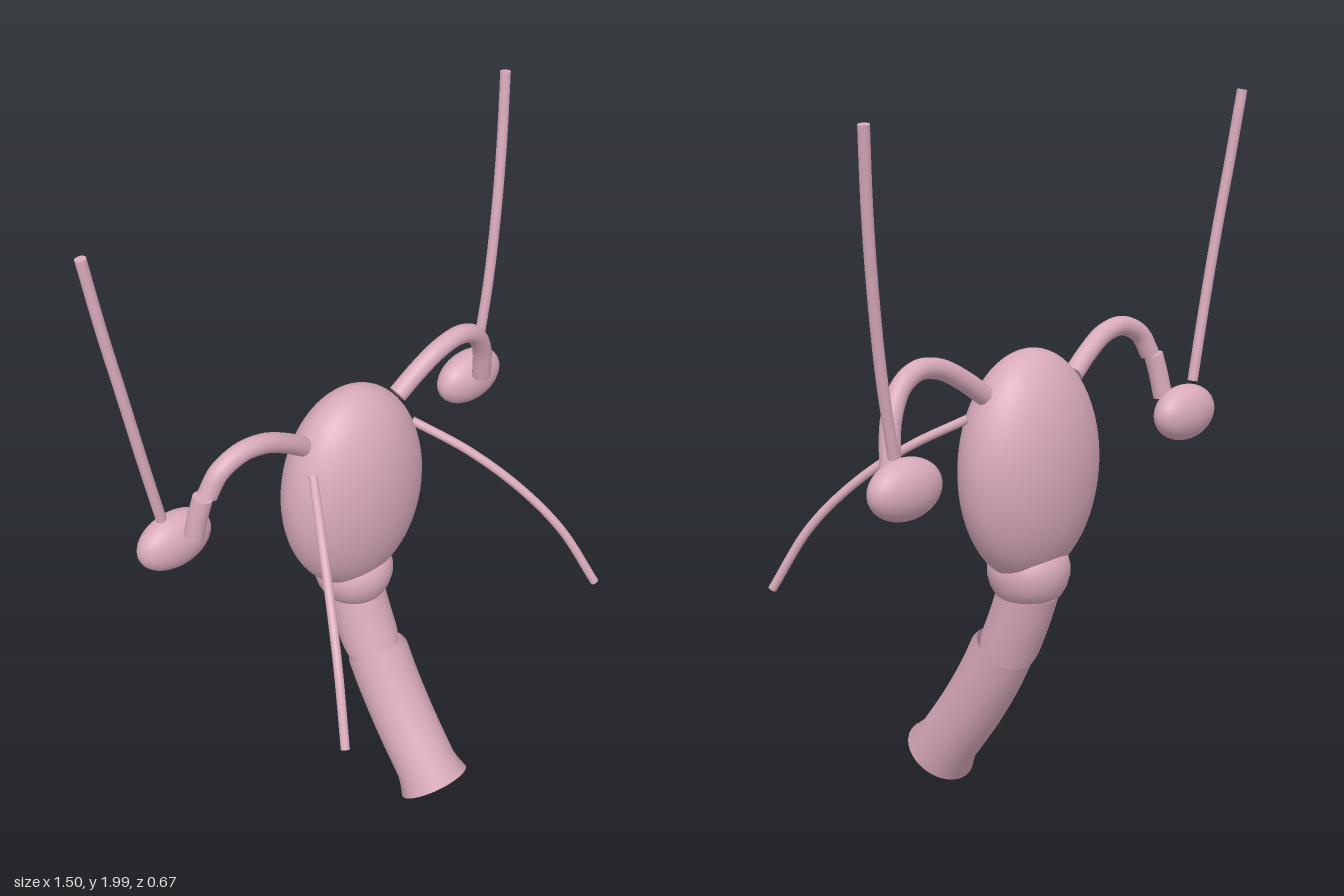
import * as THREE from 'three';

const pink = new THREE.MeshStandardMaterial({ color: 0xd8aab9, side: THREE.DoubleSide });
pink.name = 'pink tissue';

function addMesh(parent, name, geometry) {
  const mesh = new THREE.Mesh(geometry, pink);
  mesh.name = name;
  parent.add(mesh);
  return mesh;
}

function ellipsoid(parent, name, center, radii) {
  const mesh = addMesh(parent, name, new THREE.SphereGeometry(1, 48, 32));
  mesh.position.set(...center);
  mesh.scale.set(...radii);
}

// Tube along points; radiusAt(u) varies the thickness, caps close both ends.
function tube(parent, name, points, radiusAt, capped = true, sides = 20) {
  const group = new THREE.Group();
  group.name = name;
  parent.add(group);
  const curve = new THREE.CatmullRomCurve3(points.map((p) => new THREE.Vector3(...p)));
  const steps = 48;
  const geometry = new THREE.TubeGeometry(curve, steps, 1, sides);
  const pos = geometry.attributes.position;
  const v = new THREE.Vector3();
  for (let i = 0; i <= steps; i++) {
    const c = curve.getPointAt(i / steps);
    for (let j = 0; j <= sides; j++) {
      const k = i * (sides + 1) + j;
      v.fromBufferAttribute(pos, k).sub(c).multiplyScalar(radiusAt(i / steps)).add(c);
      pos.setXYZ(k, v.x, v.y, v.z);
    }
  }
  addMesh(group, name + 'Wall', geometry);
  if (!capped) return;
  for (const u of [0, 1]) {
    const cap = addMesh(group, name + 'Cap', new THREE.CircleGeometry(radiusAt(u), sides));
    const outward = curve.getTangentAt(u).multiplyScalar(u ? 1 : -1);
    cap.quaternion.setFromUnitVectors(new THREE.Vector3(0, 0, 1), outward);
    cap.position.copy(curve.getPointAt(u));
  }
}

export function createModel() {
  const model = new THREE.Group();
  model.name = 'organModel';

  // Main body
  ellipsoid(model, 'body', [0, 1.02, -0.18], [0.235, 0.325, 0.154]);

  // Barrel-shaped neck
  const profile = [[0, 0.64], [0.075, 0.64], [0.093, 0.653], [0.108, 0.68], [0.116, 0.71],
    [0.116, 0.735], [0.109, 0.763], [0.095, 0.78], [0, 0.78]];
  const neck = addMesh(model, 'neck', new THREE.LatheGeometry(
    profile.map(([x, y]) => new THREE.Vector2(x, y)), 48));
  neck.position.z = -0.18;

  // Upper canal and the open, flared lower canal
  tube(model, 'upperCanal', [[0, 0.675, -0.185], [0, 0.57, -0.147], [0, 0.455, -0.098]],
    (u) => 0.086 - 0.008 * Math.max(0, (u - 0.75) / 0.25) ** 2, true, 40);
  tube(model, 'lowerCanal',
    [[0, 0.472, -0.088], [0, 0.37, -0.035], [0, 0.25, 0.04], [0, 0.15, 0.113], [0, 0.08, 0.165]],
    (u) => 0.092 - 0.01 * Math.max(0, 1 - u / 0.06) ** 2
      + 0.015 * Math.max(0, (u - 0.86) / 0.14) ** 1.5, false, 40);

  // Arched side tubes; the right one is split into two pieces
  const arch = [[0.18, 1.245, -0.18], [0.25, 1.295, -0.172], [0.33, 1.337, -0.165],
    [0.41, 1.347, -0.165], [0.48, 1.315, -0.172]];
  tube(model, 'leftArchedTube',
    [...arch, [0.53, 1.24, -0.187], [0.555, 1.125, -0.207]], () => 0.028);
  tube(model, 'rightArchedTube',
    [...arch, [0.515, 1.255, -0.182]].map(([x, y, z]) => [-x, y, z]), () => 0.028);
  tube(model, 'rightTubeEnd',
    [[-0.527, 1.25, -0.187], [-0.54, 1.19, -0.197], [-0.55, 1.125, -0.207]], () => 0.028);

  // Mirrored glands, tall cords and lower cords
  for (const [side, s] of [['left', 1], ['right', -1]]) {
    ellipsoid(model, side + 'Gland', [s * 0.568, 1.085, -0.273], [0.118, 0.081, 0.063]);
    tube(model, side + 'TallCord', [[s * 0.605, 1.172, -0.272], [s * 0.645, 1.38, -0.275],
      [s * 0.681, 1.6, -0.286], [s * 0.711, 1.8, -0.302], [s * 0.735, 2, -0.32]], () => 0.015);
    tube(model, side + 'LowerCord', [[s * 0.19, 1.175, -0.13], [s * 0.285, 1.09, 0.005],
      [s * 0.37, 0.98, 0.13], [s * 0.44, 0.85, 0.233], [s * 0.502, 0.67, 0.322]], () => 0.0125);
  }
  return model;
}
